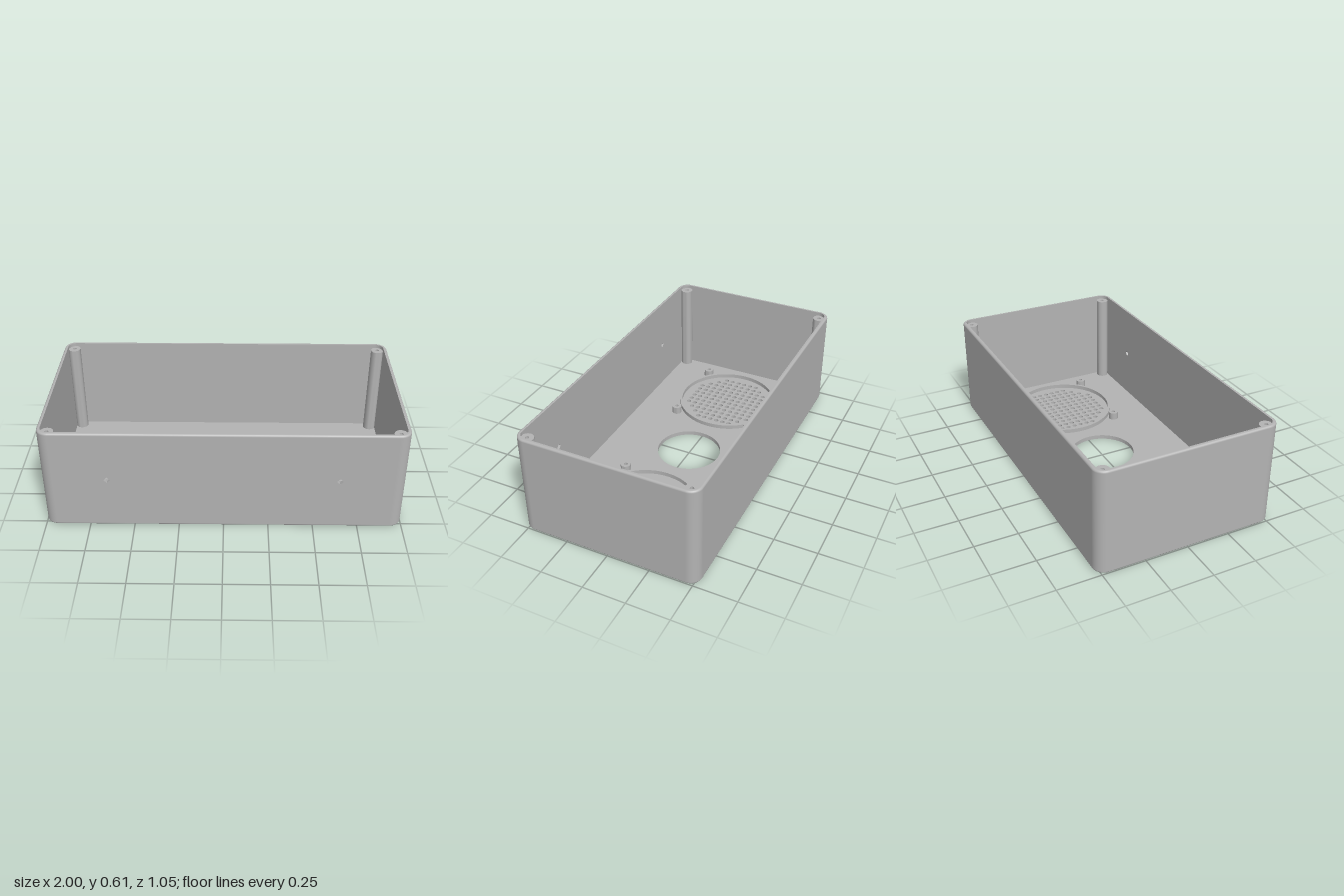
import * as THREE from 'three';
import { toCreasedNormals } from 'three/addons/utils/BufferGeometryUtils.js';

const W = 1, D = 0.525, H = 0.61;       // half width, half depth, height
const R = 0.065, WALL = 0.02, FLOOR = 0.025, F = 0.012; // corner radius, thicknesses, edge fillet
const SEG = 10;                          // steps per rounded corner

// Points round the rounded rectangle, inset from the outside
function outline(inset) {
  const pts = [];
  for (let k = 0; k < 4; k++) {
    const sx = k === 0 || k === 3 ? 1 : -1, sz = k < 2 ? 1 : -1;
    for (let i = 0; i <= SEG; i++) {
      const a = (k + i / SEG) * Math.PI / 2, c = Math.cos(a), s = Math.sin(a);
      pts.push({ x: sx * (W - R) + (R - inset) * c, z: sz * (D - R) + (R - inset) * s, c, s });
    }
  }
  return pts;
}

// Sweeps a profile of [inset, y, outward normal, up normal] round the outline;
// the front flat of profile step `open` is left out for the drilled panel
function sweep(profile, open) {
  const pos = [], nor = [], idx = [], n = 4 * (SEG + 1);
  for (const [inset, y, no, nu] of profile) {
    for (const p of outline(inset)) {
      pos.push(p.x, y, p.z);
      nor.push(p.c * no, nu, p.s * no);
    }
  }
  for (let i = 0; i < profile.length - 1; i++) {
    for (let j = 0; j < n; j++) {
      if (i === open && j === SEG) continue;
      const k = (j + 1) % n;
      const a = i * n + j, b = a + n, c = i * n + k, d = c + n;
      idx.push(a, b, c, b, d, c);
    }
  }
  const g = new THREE.BufferGeometry();
  g.setAttribute('position', new THREE.Float32BufferAttribute(pos, 3));
  g.setAttribute('normal', new THREE.Float32BufferAttribute(nor, 3));
  g.setIndex(idx);
  return g;
}

function hole(x, y, r) {
  return new THREE.Path().absarc(x, y, r, 0, Math.PI * 2, true);
}

function lathe(points, segments) {
  const g = new THREE.LatheGeometry(points.map(p => new THREE.Vector2(...p)), segments);
  return toCreasedNormals(g, 0.6);
}

// Round pillar with a blind screw hole
function screwPillar(r, bore, top, depth) {
  return lathe([[r, FLOOR], [r, top], [bore, top], [bore, top - depth], [0, top - depth]], 24);
}

export function createModel() {
  const model = new THREE.Group();
  const grey = new THREE.MeshStandardMaterial({ color: 0xb3b3b3 });
  grey.name = 'grey plastic';
  const add = (name, geometry, x = 0, y = 0, z = 0) => {
    const mesh = new THREE.Mesh(geometry, grey);
    mesh.name = name;
    mesh.position.set(x, y, z);
    model.add(mesh);
    return mesh;
  };

  // Outer wall with filleted bottom and rim
  const outer = [];
  for (const [y, start] of [[F, -90], [H - F, 0]]) {
    for (let i = 0; i <= 4; i++) {
      const a = THREE.MathUtils.degToRad(start + i * 22.5);
      outer.push([F * (1 - Math.cos(a)), y + F * Math.sin(a), Math.cos(a), Math.sin(a)]);
    }
  }
  outer.push([WALL, H, 0, 1]);
  add('outerWall', sweep(outer, 4));
  add('innerWall', sweep([[WALL, H, -1, 0], [WALL, H - F, -1, 0], [WALL, FLOOR, -1, 0]], 1));

  // Front panel with two small diamond holes
  const px = W - R;
  const panel = new THREE.Shape([[-px, F], [px, F], [px, H - F], [-px, H - F]].map(p => new THREE.Vector2(...p)));
  for (const s of [-1, 1]) {
    const x = s * 0.637, y = 0.31, r = 0.018;
    panel.holes.push(new THREE.Path([[x, y + r], [x + r, y], [x, y - r], [x - r, y]].map(p => new THREE.Vector2(...p))));
  }
  add('frontPanel', new THREE.ExtrudeGeometry(panel, { depth: WALL, bevelEnabled: false }), 0, 0, D - WALL);

  // Floor with a large central opening and two grilles
  const floor = new THREE.Shape(outline(F).map(p => new THREE.Vector2(p.x, p.z)));
  const centre = [];
  for (let i = 0; i < 48; i++) {
    const a = -i / 48 * Math.PI * 2;
    centre.push(new THREE.Vector2(0.192 * Math.cos(a), 0.192 * Math.sin(a)));
  }
  floor.holes.push(new THREE.Path(centre));
  const speakerX = 0.595, pitch = 0.0427;
  for (const s of [-1, 1]) {
    for (let i = -5.5; i < 6; i++) {
      for (let j = -5.5; j < 6; j++) {
        if (i * i + j * j < 40) floor.holes.push(hole(s * speakerX + i * pitch, j * pitch, 0.0145));
      }
    }
  }
  const floorGeometry = new THREE.ExtrudeGeometry(floor, { depth: FLOOR, bevelEnabled: false, curveSegments: 6 });
  floorGeometry.rotateX(Math.PI / 2).translate(0, FLOOR, 0);
  add('floor', floorGeometry);

  // Locating rings and screw bosses round each grille
  const ring = lathe([[0.317, FLOOR], [0.317, 0.05], [0.302, 0.05], [0.302, FLOOR]], 64);
  const boss = screwPillar(0.03, 0.011, 0.07, 0.04);
  const post = screwPillar(0.037, 0.011, 0.59, 0.1);
  for (const sx of [-1, 1]) {
    add('speakerRing', ring, sx * speakerX);
    for (const sz of [-1, 1]) {
      for (const o of [-0.252, 0.252]) add('speakerBoss', boss, sx * speakerX + o, 0, sz * 0.252);
      // Tall lid posts in the corners
      add('cornerPost', post, sx * 0.945, 0, sz * 0.47);
    }
  }
  return model;
}
